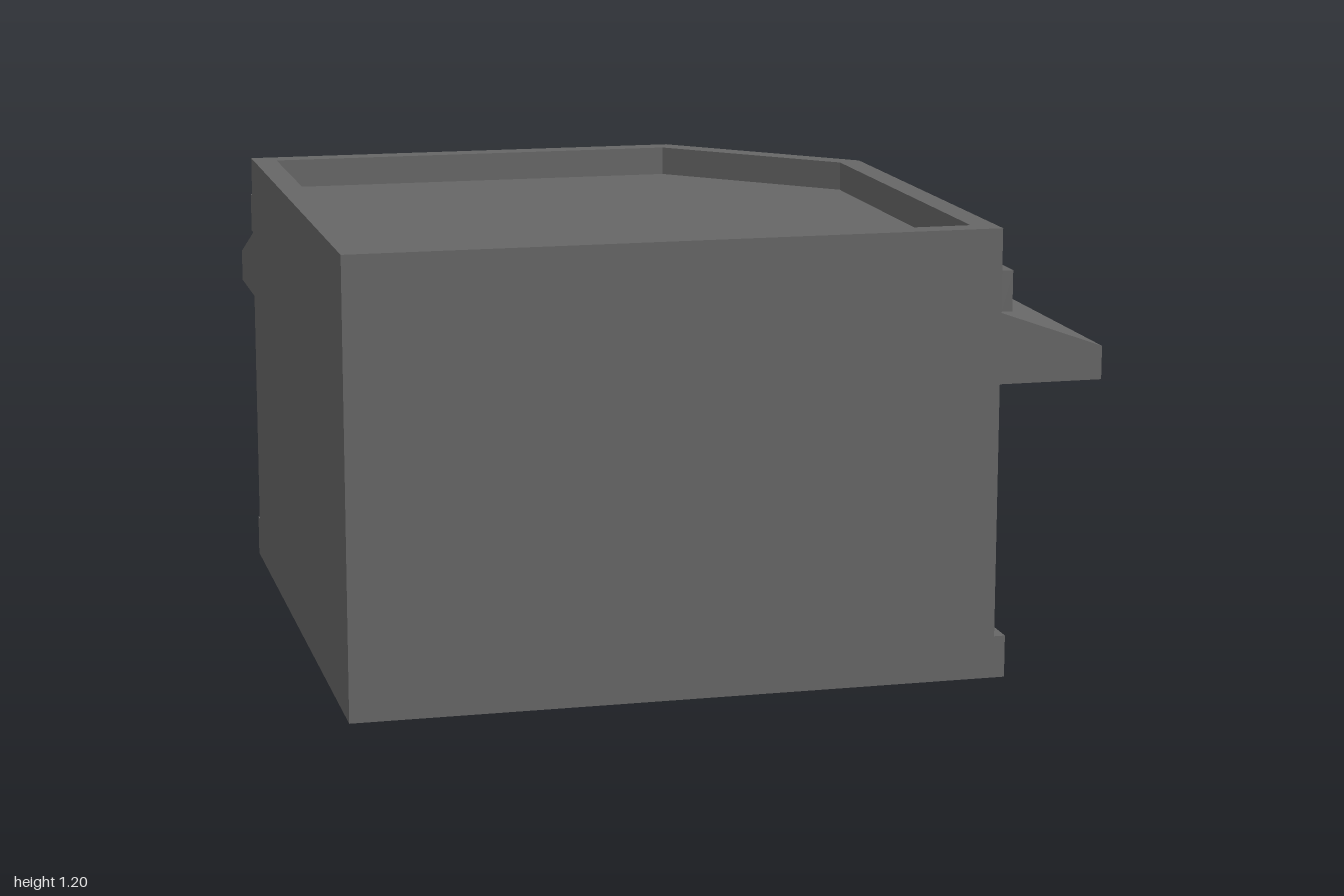
import * as THREE from 'three';

const WALL = 0.72, HEIGHT = 1.204, CHAMFER = 0.255, MITRE = Math.tan(Math.PI / 8);
const DOOR_HALF = 0.1626;

const material = new THREE.MeshStandardMaterial({ color: 0x666666, flatShading: true, side: THREE.DoubleSide });

// Corner stations of the street facade, each a function of the outward offset d, giving [x, z].
const start = d => [WALL + d, 1];
const corner = d => [WALL + d, -(CHAMFER + MITRE * d)];
const jamb = d => {
  const mid = (WALL + d + CHAMFER + MITRE * d) / 2, half = DOOR_HALF * Math.SQRT1_2;
  return [mid + half, -(mid - half)];
};
// The building is symmetric about its cut corner.
const mirror = station => d => {
  const [x, z] = station(d);
  return [-z, -x];
};
const facade = [start, corner, mirror(corner), mirror(start)];

const at = ([x, z], y) => [x, y, z];

// Mesh from a list of convex outlines, corners anticlockwise from outside.
function faceMesh(name, faces) {
  const positions = faces.flatMap(f =>
    f.slice(2).flatMap((p, i) => [...f[0], ...f[i + 1], ...p]));
  const geometry = new THREE.BufferGeometry();
  geometry.setAttribute('position', new THREE.Float32BufferAttribute(positions, 3));
  geometry.computeVertexNormals();
  const mesh = new THREE.Mesh(geometry, material);
  mesh.name = name;
  return mesh;
}

// Sweep a profile of [offset, y] along mitred stations, with end caps.
// The profile's last side lies against the wall and is left open;
// firstSide = 1 also leaves the underside open.
function moulding(name, stations, profile, firstSide = 0) {
  const rings = stations.map(s => profile.map(([d, y]) => at(s(d), y)));
  const faces = [rings[0], [...rings[rings.length - 1]].reverse()];
  for (let i = 0; i < rings.length - 1; i++) {
    for (let j = firstSide; j < profile.length - 1; j++) {
      faces.push([rings[i][j], rings[i + 1][j], rings[i + 1][j + 1], rings[i][j + 1]]);
    }
  }
  return faceMesh(name, faces);
}

// Wall from a to b (left to right from outside) with a recessed opening.
function wallWithRecess(name, panelName, a, b, u0, u1, y0, y1, depth) {
  const length = Math.hypot(b[0] - a[0], b[1] - a[1]);
  const tx = (b[0] - a[0]) / length, tz = (b[1] - a[1]) / length;
  const p = (u, y, inset = 0) => [a[0] + tx * u + tz * inset, y, a[1] + tz * u - tx * inset];
  const rect = (l, r, bottom, top, inset) =>
    [p(l, bottom, inset), p(r, bottom, inset), p(r, top, inset), p(l, top, inset)];

  const faces = [
    rect(0, u0, 0, HEIGHT), rect(u1, length, 0, HEIGHT), rect(u0, u1, y1, HEIGHT),
    [p(u0, y0), p(u0, y0, depth), p(u0, y1, depth), p(u0, y1)],
    [p(u1, y0, depth), p(u1, y0), p(u1, y1), p(u1, y1, depth)],
    [p(u0, y1, depth), p(u1, y1, depth), p(u1, y1), p(u0, y1)],
  ];
  // A sill and lower wall where the opening is above the ground
  if (y0 > 0) {
    faces.push(rect(u0, u1, 0, y0));
    faces.push([p(u0, y0), p(u1, y0), p(u1, y0, depth), p(u0, y0, depth)]);
  }
  const group = new THREE.Group();
  group.name = name + 'Group';
  group.add(faceMesh(name, faces), faceMesh(panelName, [rect(u0, u1, y0, y1, depth)]));
  return group;
}

export function createModel() {
  const model = new THREE.Group();
  model.name = 'cornerShop';

  // Street walls with windows, and the door in the cut corner
  const [a, b, c, d] = facade.map(s => s(0));
  const doorMid = Math.hypot(c[0] - b[0], c[1] - b[1]) / 2;
  model.add(
    wallWithRecess('rightWall', 'rightWindow', a, b, 0.27, 0.985, 0.275, 0.653, 0.03),
    wallWithRecess('cornerWall', 'door', b, c, doorMid - DOOR_HALF, doorMid + DOOR_HALF, 0, 0.653, 0.03),
    wallWithRecess('backWall', 'backWindow', c, d, 0.27, 0.985, 0.275, 0.653, 0.03),
  );

  // Plain party walls
  const rear = [-1, 1];
  model.add(
    faceMesh('leftWall', [[at(d, 0), at(rear, 0), at(rear, HEIGHT), at(d, HEIGHT)]]),
    faceMesh('frontWall', [[at(rear, 0), at(a, 0), at(a, HEIGHT), at(rear, HEIGHT)]]),
  );

  // Plinth, broken at the door and open underneath
  const plinth = [[0, 0], [0.03, 0], [0.03, 0.113], [0, 0.113]];
  model.add(
    moulding('rightPlinth', [start, corner, jamb], plinth, 1),
    moulding('backPlinth', [jamb, corner, start].map(mirror), plinth, 1),
  );

  // Sloping awning and cornice band
  model.add(
    moulding('awning', facade, [[0, 0.793], [0.28, 0.793], [0.28, 0.882], [0, 0.982]]),
    moulding('cornice', facade, [[0, 0.985], [0.03, 0.985], [0.03, 1.093], [0, 1.093]]),
  );

  // Parapet rim around the sunken flat roof
  const rim = 0.066, roofY = HEIGHT - 0.08;
  const outer = [a, b, c, d, rear];
  const inner = facade.map(s => s(-rim));
  inner[0][1] = 1 - rim;
  inner[3][0] = -1 + rim;
  inner.push([-1 + rim, 1 - rim]);
  const parapet = [];
  for (let i = 0; i < 5; i++) {
    const j = (i + 1) % 5;
    parapet.push([at(outer[i], HEIGHT), at(outer[j], HEIGHT), at(inner[j], HEIGHT), at(inner[i], HEIGHT)]);
    parapet.push([at(inner[i], HEIGHT), at(inner[j], HEIGHT), at(inner[j], roofY), at(inner[i], roofY)]);
  }
  model.add(
    faceMesh('parapet', parapet),
    faceMesh('roof', [inner.map(q => at(q, roofY))]),
  );

  return model;
}
